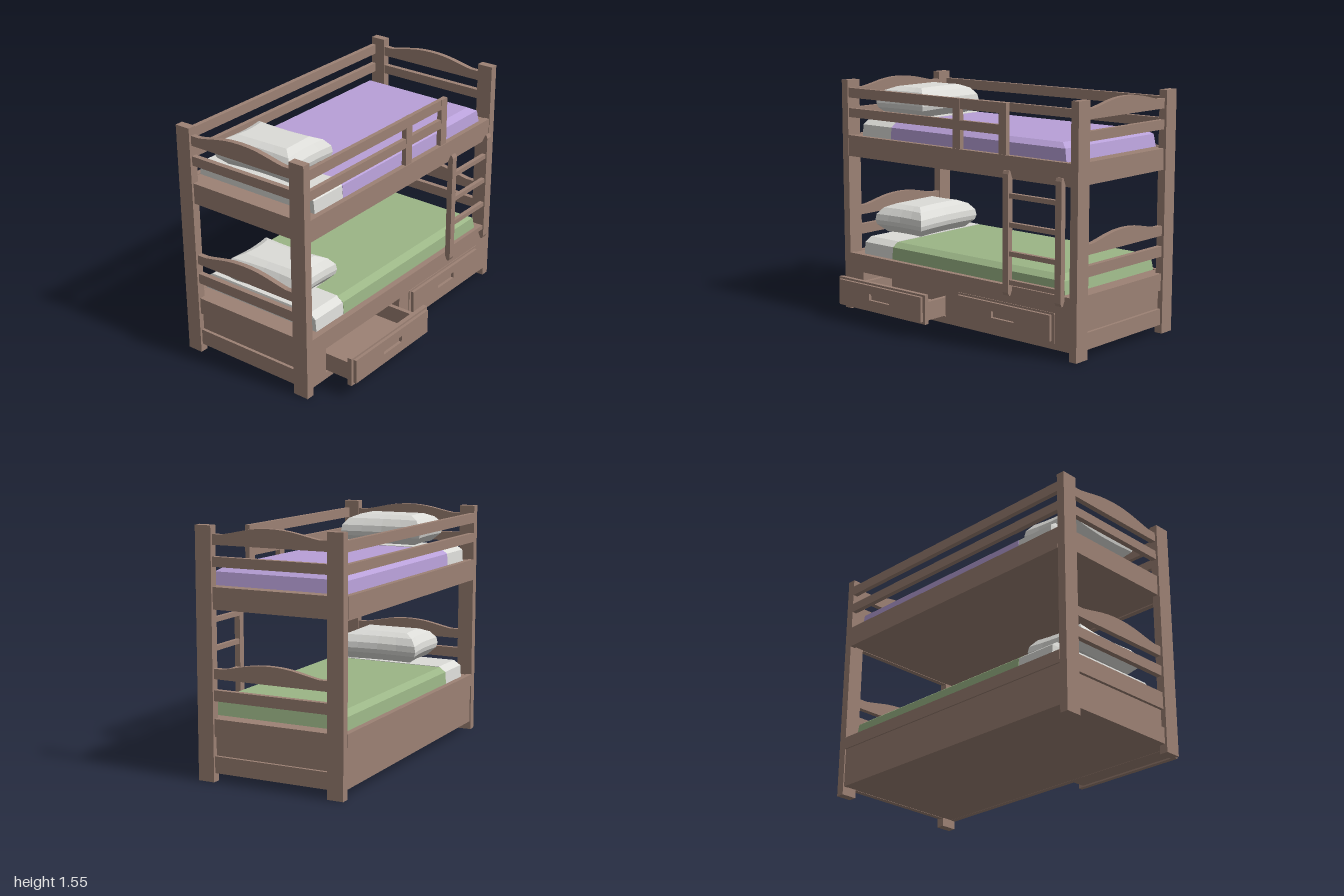
import * as THREE from 'three';

export function createModel() {
  const root = new THREE.Group();
  const mat = (name, color) => {
    const m = new THREE.MeshStandardMaterial({ color });
    m.name = name;
    return m;
  };
  const wood = mat('wood', 0x9c8174);
  const lilac = mat('lilacBlanket', 0xb8a0d8);
  const green = mat('greenBlanket', 0x9bb586);
  const linen = mat('whiteLinen', 0xdcdcd8);

  const add = (name, geo, m = wood, parent = root) => {
    const mesh = new THREE.Mesh(geo, m);
    mesh.name = name;
    parent.add(mesh);
    return mesh;
  };
  // Box given by its limits on each axis
  const box = (name, x0, x1, y0, y1, z0, z1, parent = root) =>
    add(name, new THREE.BoxGeometry(x1 - x0, y1 - y0, z1 - z0)
      .translate((x0 + x1) / 2, (y0 + y1) / 2, (z0 + z1) / 2), wood, parent);
  const rect = (x0, x1, y0, y1, T = THREE.Shape) => new T([[x0, y0], [x1, y0], [x1, y1], [x0, y1]]
    .map(p => new THREE.Vector2(...p)));
  const extrude = (shape, depth) => new THREE.ExtrudeGeometry(shape, { depth, bevelEnabled: false, curveSegments: 8 });
  // Profile drawn in (z, y), extruded across x and centred at x
  const sideways = (shape, width, x) => extrude(shape, width).rotateY(-Math.PI / 2).translate(x + width / 2, 0, 0);

  // Corner posts
  for (const s of [-1, 1]) {
    const x0 = s < 0 ? -1 : 0.945;
    box('frontPost', x0, x0 + 0.055, 0, 1.555, 0.27, 0.378);
    box('backPost', x0, x0 + 0.055, 0, 1.555, -0.605, -0.5);
  }

  // Head and foot ends: arched rail, slat and boards
  const arch = y => {
    const s = new THREE.Shape();
    s.moveTo(-0.5, y);
    s.lineTo(0.27, y);
    s.lineTo(0.27, y + 0.063);
    s.lineTo(0.21, y + 0.063);
    s.bezierCurveTo(0.1, y + 0.08, 0.03, y + 0.11, -0.115, y + 0.11);
    s.bezierCurveTo(-0.26, y + 0.11, -0.33, y + 0.08, -0.44, y + 0.063);
    s.lineTo(-0.5, y + 0.063);
    return s;
  };
  for (const s of [-1, 1]) {
    const endBoard = (name, y0, y1, inset = 0) => {
      const a = s * (0.95 - inset), b = s * (0.985 - inset);
      box(name, Math.min(a, b), Math.max(a, b), y0, y1, -0.5, 0.27);
    };
    for (const y of [0.635, 1.44]) add('archedRail', sideways(arch(y), 0.035, s * 0.967));
    endBoard('lowerEndSlat', 0.5, 0.567);
    endBoard('upperEndSlat', 1.31, 1.37);
    endBoard('upperEndBoard', 1.055, 1.19);
    endBoard('baseEndBoard', 0.28, 0.39);
    endBoard('baseEndPanel', 0.16, 0.28, 0.02);
    endBoard('baseEndBoard', 0.055, 0.16);
  }

  // Platforms and bottom panel
  box('upperPlatform', -0.95, 0.95, 1.058, 1.185, -0.57, 0.345);
  box('lowerPlatform', -0.95, 0.95, 0.31, 0.385, -0.57, 0.345);
  box('bottomPanel', -0.95, 0.95, 0.057, 0.075, -0.57, 0.345);

  // Long side rails
  box('upperFrontRail', -0.945, 0.945, 1.05, 1.19, 0.34, 0.375);
  box('upperBackRail', -0.945, 0.945, 1.05, 1.19, -0.607, -0.57);
  box('lowerBackRail', -0.945, 0.945, 0.31, 0.39, -0.607, -0.57);
  box('baseBackPanel', -0.945, 0.945, 0.055, 0.31, -0.597, -0.57);
  for (const [y0, y1] of [[1.31, 1.37], [1.44, 1.505]]) {
    box('backGuardRail', -0.945, 0.945, y0, y1, -0.605, -0.573);
    box('frontGuardRail', -0.945, 0.44, y0, y1, 0.34, 0.368);
  }
  for (const x of [0, 0.38]) box('guardUpright', x, x + 0.062, 1.19, 1.505, 0.338, 0.37);

  // Base front with drawer openings
  const front = rect(-0.945, 0.945, 0.055, 0.39);
  for (const x of [-0.82, 0.06]) front.holes.push(rect(x, x + 0.76, 0.1, 0.27, THREE.Path));
  add('baseFront', extrude(front, 0.035).translate(0, 0, 0.343));

  // Drawers: open box, backing plate and face with a recessed grip
  const drawer = (x, z) => {
    const g = new THREE.Group();
    g.name = 'drawer';
    g.position.set(x, 0, z);
    root.add(g);
    box('drawerBottom', -0.355, 0.355, 0.1, 0.115, -0.46, -0.05, g);
    box('drawerBack', -0.355, 0.355, 0.115, 0.22, -0.46, -0.44, g);
    for (const s of [-1, 1]) box('drawerSide', s * 0.345 - 0.015, s * 0.345 + 0.015, 0.1, 0.22, -0.46, -0.05, g);
    box('drawerPlate', -0.395, 0.395, 0.09, 0.28, -0.05, -0.02, g);
    const face = rect(-0.375, 0.375, 0.105, 0.267);
    face.holes.push(rect(-0.092, 0.092, 0.17, 0.212, THREE.Path));
    add('drawerFace', extrude(face, 0.02).translate(0, 0, -0.02), wood, g);
  };
  drawer(-0.437, 0.605);
  drawer(0.44, 0.403);

  // Ladder
  const stile = new THREE.Shape([[0.38, 0.37], [0.395, 0.335], [0.408, 0.335], [0.418, 0.355], [0.418, 1.085],
    [0.41, 1.105], [0.4, 1.105], [0.38, 1.055]].map(p => new THREE.Vector2(...p)));
  for (const x of [0.478, 0.887]) add('ladderStile', sideways(stile, 0.046, x));
  for (let i = 0; i < 4; i++) box('ladderRung', 0.5, 0.865, 0.405 + i * 0.178, 0.435 + i * 0.178, 0.382, 0.41);

  // Skin closed rings of points with flat facets, capping both ends
  const loft = rings => {
    const pos = [], n = rings[0].length;
    const tri = (...p) => p.forEach(v => pos.push(...v));
    for (let k = 0; k < rings.length - 1; k++) {
      for (let i = 0; i < n; i++) {
        const j = (i + 1) % n, a = rings[k], b = rings[k + 1];
        tri(a[i], a[j], b[j]);
        tri(a[i], b[j], b[i]);
      }
    }
    const first = rings[0], last = rings[rings.length - 1];
    for (let i = 1; i < n - 1; i++) {
      tri(first[0], first[i + 1], first[i]);
      tri(last[0], last[i], last[i + 1]);
    }
    const geo = new THREE.BufferGeometry();
    geo.setAttribute('position', new THREE.Float32BufferAttribute(pos, 3));
    geo.computeVertexNormals();
    return geo;
  };
  const quad = (x0, x1, y, z0, z1) => [[x0, y, z1], [x1, y, z1], [x1, y, z0], [x0, y, z0]];

  // Pillow: pinched rectangular rings, each [height, scale]
  const pillow = () => loft([[0, 0.72], [0.05, 0.96], [0.08, 1], [0.12, 0.97], [0.165, 0.8], [0.19, 0.52]].map(([y, s]) => {
    const c = [[-1, 1], [1, 1], [1, -1], [-1, -1]];
    const ring = [];
    c.forEach((p, i) => {
      const q = c[(i + 1) % 4];
      for (let k = 0; k < 4; k++) {
        const t = k / 4, pinch = 0.1 * Math.sin(Math.PI * t);
        let u = p[0] + (q[0] - p[0]) * t, v = p[1] + (q[1] - p[1]) * t;
        if (p[0] === q[0]) u *= 1 - pinch; else v *= 1 - pinch * 0.6;
        ring.push([u * 0.21 * s, y, v * (0.285 - 0.21 * (1 - s))]);
      }
    });
    return ring;
  }));

  // Bedding on each bunk
  const bedding = (name, y, blanket, pillowZ) => {
    const g = new THREE.Group();
    g.name = name;
    g.position.y = y;
    root.add(g);
    add('blanket', loft([
      quad(-0.585, 0.878, 0, -0.568, 0.335),
      quad(-0.585, 0.863, 0.08, -0.562, 0.328),
      quad(-0.585, 0.81, 0.11, -0.52, 0.285),
    ]), blanket, g);
    add('sheet', loft([
      quad(-0.852, -0.583, 0, -0.566, 0.333),
      quad(-0.852, -0.583, 0.08, -0.56, 0.326),
      quad(-0.845, -0.583, 0.113, -0.515, 0.28),
    ]), linen, g);
    const p = add('pillow', pillow(), linen, g);
    p.position.set(-0.683, 0.13, pillowZ);
    p.rotation.y = 0.04;
  };
  bedding('lowerBedding', 0.388, green, -0.09);
  bedding('upperBedding', 1.185, lilac, -0.115);

  return root;
}
